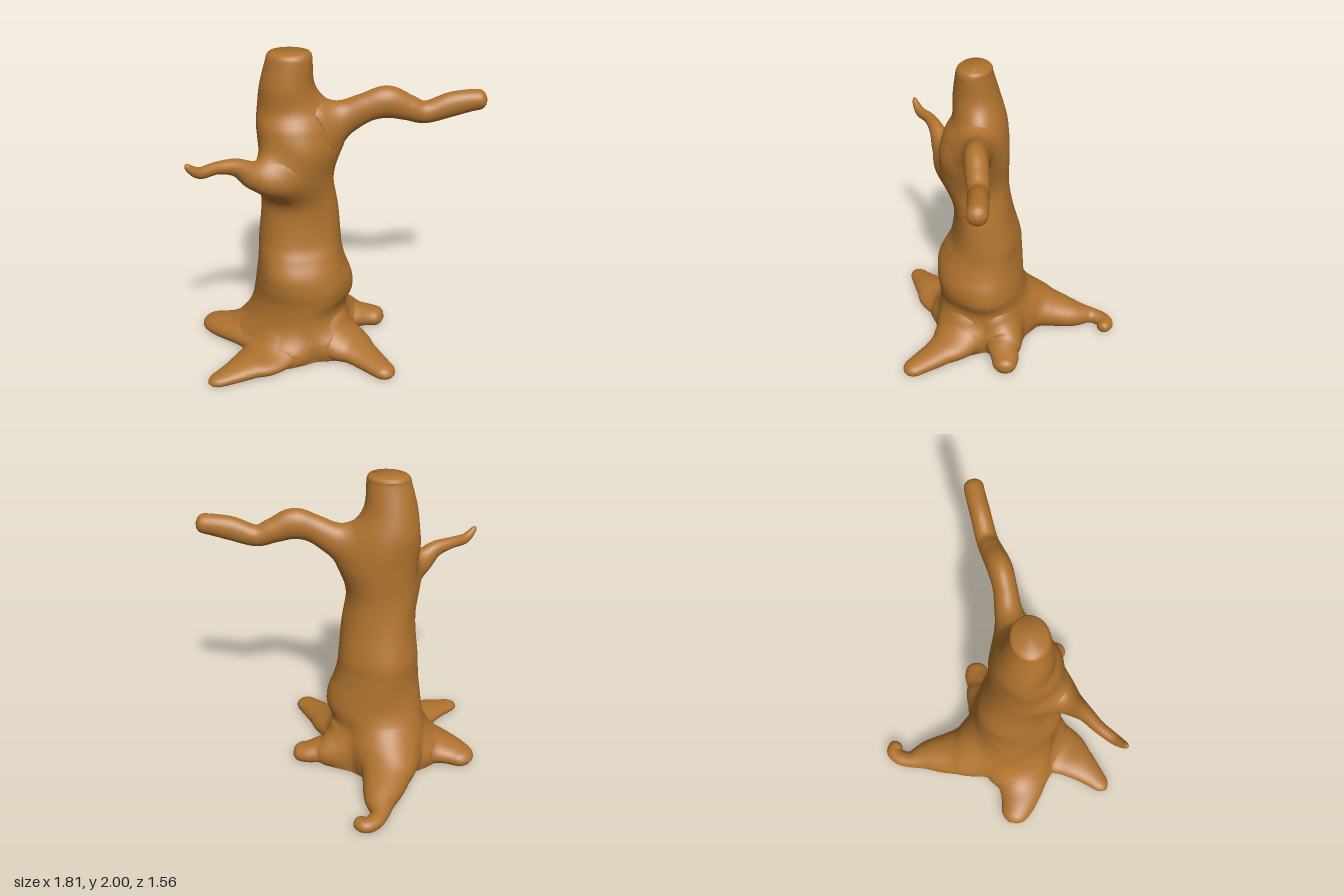
import * as THREE from 'three';
import { toCreasedNormals } from 'three/addons/utils/BufferGeometryUtils.js';

const bark = new THREE.MeshStandardMaterial({ color: 0xb0732f });
bark.name = 'bark';
const UP = new THREE.Vector3(0, 1, 0);
const BLEND = 0.16; // reach of the fillet where two parts meet

// Oval rings along stations [x, y, z, half width, half height]
function makeRings(stations, upright) {
  const path = new THREE.CatmullRomCurve3(stations.map(s => new THREE.Vector3(s[0], s[1], s[2])), false, 'catmullrom', 0.5);
  const size = new THREE.CatmullRomCurve3(stations.map(s => new THREE.Vector3(s[3], s[4], 0)), false, 'catmullrom', 0.5);
  const segments = stations.length - 1, count = segments * 9, rings = [];
  for (let i = 0; i <= count; i++) {
    const t = i / count, r = size.getPoint(t);
    const axis = upright ? UP : path.getTangent(t);
    const side = upright ? new THREE.Vector3(0, 0, 1) : UP.clone().cross(axis).normalize();
    const up = axis.clone().cross(side);
    // Round off the tip of a limb over the last half segment
    const k = upright ? 0 : Math.max(0, 1 - (1 - t) * segments * 2);
    const round = Math.sqrt(Math.max(0.002, 1 - k * k));
    rings.push({ c: path.getPoint(t), axis, side, up, w: r.x * round, h: r.y * round });
  }
  return rings;
}

// Approximate distance from a point to a part
const v = new THREE.Vector3();
function distance(p, rings) {
  let best = Infinity;
  for (const { c, axis, side, up, w, h } of rings) {
    const m = Math.min(w, h);
    v.subVectors(p, c);
    const x = v.dot(side) / w, y = v.dot(up) / h, z = v.dot(axis) / m;
    best = Math.min(best, (Math.sqrt(x * x + y * y + z * z) - 1) * m);
  }
  return best;
}

// How far to push a surface point outwards to meet its neighbours in a fillet
function fillet(p, dir, others) {
  const q = new THREE.Vector3();
  let s = 0;
  for (let n = 0; n < 5; n++) {
    q.copy(p).addScaledVector(dir, s);
    const d = Math.min(...others.map(o => distance(q, o)));
    if (d > BLEND || (n === 0 && d < -0.03)) break;
    const h = Math.max(BLEND - Math.abs(s - d), 0) / BLEND;
    s = THREE.MathUtils.clamp(s - Math.min(s, d) + h * h * BLEND / 4, 0, BLEND * 0.5);
  }
  return s;
}

// Skins the rings of one part, filleted into the other parts
function skin(name, rings, others, sides, ripple) {
  const pos = [], index = [];
  const add = p => pos.push(p.x, Math.max(0, p.y), p.z); // flat on the ground
  for (const { c, side, up, w, h } of rings) {
    for (let j = 0; j < sides; j++) {
      const a = j / sides * Math.PI * 2, f = ripple(a, c.y);
      const dir = new THREE.Vector3().addScaledVector(side, Math.cos(a) * w * f).addScaledVector(up, Math.sin(a) * h * f);
      const p = c.clone().add(dir);
      dir.normalize();
      add(p.addScaledVector(dir, fillet(p, dir, others)));
    }
  }
  const last = (rings.length - 1) * sides, first = rings.length * sides;
  for (let i = 0; i < last; i += sides) {
    for (let j = 0; j < sides; j++) {
      const a = i + j, b = i + (j + 1) % sides;
      index.push(a, b, b + sides, a, b + sides, a + sides);
    }
  }
  // End caps
  add(rings[0].c);
  add(rings[rings.length - 1].c);
  for (let j = 0; j < sides; j++) {
    const n = (j + 1) % sides;
    index.push(first, n, j, first + 1, last + j, last + n);
  }
  const geo = new THREE.BufferGeometry();
  geo.setAttribute('position', new THREE.Float32BufferAttribute(pos, 3));
  geo.setIndex(index);
  const mesh = new THREE.Mesh(toCreasedNormals(geo, Math.PI / 3), bark);
  mesh.name = name;
  return mesh;
}

// Trunk outline: [y, min x, max x, min z, max z]
const outline = [
  [0, -0.6, 0.07, -0.18, 0.44], [0.1, -0.585, 0.05, -0.17, 0.435],
  [0.2, -0.57, 0.04, -0.16, 0.43], [0.3, -0.555, 0.055, -0.15, 0.43],
  [0.4, -0.54, 0.095, -0.15, 0.435], [0.5, -0.525, 0.09, -0.14, 0.45],
  [0.6, -0.51, 0.055, -0.13, 0.445], [0.7, -0.505, 0.03, -0.12, 0.4],
  [0.8, -0.5, 0.02, -0.11, 0.355], [1.0, -0.475, 0.005, -0.06, 0.33],
  [1.2, -0.47, -0.02, -0.03, 0.365], [1.4, -0.465, -0.02, -0.03, 0.415],
  [1.55, -0.48, -0.06, -0.025, 0.39], [1.66, -0.475, -0.1, -0.01, 0.335],
  [1.8, -0.455, -0.13, 0.03, 0.328], [1.95, -0.415, -0.135, 0.07, 0.305],
  [1.985, -0.405, -0.14, 0.075, 0.295], [2.0, -0.39, -0.15, 0.09, 0.28],
];
const trunk = outline.map(([y, x0, x1, z0, z1]) =>
  [(x0 + x1) / 2, y, (z0 + z1) / 2, (z1 - z0) / 2, (x1 - x0) / 2]);

// Shallow twisting grooves that fade out at the cut top
const twist = (a, y) => 1 + Math.min(1, 2.05 - y) *
  (0.024 * Math.sin(3 * a + 4 * y) + 0.015 * Math.sin(5 * a - 6 * y + 1));

// Branches and roots, each running outwards from deep inside the trunk
const limbs = {
  leftBranch: [
    [-0.26, 1.37, 0.17, 0.08, 0.1], [-0.1, 1.5, 0.14, 0.095, 0.14],
    [0.05, 1.58, 0.11, 0.083, 0.105], [0.18, 1.645, 0.1, 0.072, 0.09],
    [0.3, 1.675, 0.08, 0.075, 0.1], [0.42, 1.635, 0.05, 0.07, 0.08],
    [0.53, 1.6, 0.025, 0.065, 0.068], [0.68, 1.645, 0, 0.063, 0.076],
    [0.8, 1.67, -0.02, 0.062, 0.068], [0.9, 1.68, -0.03, 0.06, 0.058],
  ],
  rightBranch: [
    [-0.24, 1.22, 0.2, 0.07, 0.06], [-0.34, 1.24, 0.355, 0.105, 0.085],
    [-0.45, 1.305, 0.44, 0.075, 0.08], [-0.54, 1.385, 0.5, 0.05, 0.055],
    [-0.64, 1.41, 0.57, 0.038, 0.038], [-0.72, 1.41, 0.65, 0.033, 0.035],
    [-0.765, 1.445, 0.69, 0.024, 0.025], [-0.79, 1.485, 0.71, 0.012, 0.014],
  ],
  backRoot: [
    [-0.27, 0.3, 0.12, 0.12, 0.1], [-0.37, 0.15, -0.14, 0.18, 0.15],
    [-0.375, 0.09, -0.31, 0.155, 0.12], [-0.37, 0.06, -0.48, 0.11, 0.09],
    [-0.385, 0.045, -0.61, 0.06, 0.055], [-0.36, 0.04, -0.69, 0.055, 0.048],
    [-0.31, 0.04, -0.73, 0.052, 0.045], [-0.25, 0.04, -0.69, 0.047, 0.042],
  ],
  backLeftRoot: [
    [-0.2, 0.22, 0.1, 0.1, 0.1], [0.02, 0.1, -0.05, 0.11, 0.11],
    [0.12, 0.075, -0.07, 0.09, 0.08], [0.2, 0.06, -0.085, 0.085, 0.065],
    [0.3, 0.05, -0.08, 0.065, 0.055],
  ],
  rightRoot: [
    [-0.26, 0.22, 0.14, 0.12, 0.11], [-0.5, 0.1, 0.15, 0.18, 0.11],
    [-0.65, 0.07, 0.155, 0.15, 0.085], [-0.79, 0.05, 0.115, 0.115, 0.07],
    [-0.9, 0.04, 0.045, 0.07, 0.045],
  ],
  frontRightRoot: [
    [-0.25, 0.13, 0.16, 0.12, 0.1], [-0.39, 0.05, 0.45, 0.165, 0.07],
    [-0.52, 0.045, 0.58, 0.125, 0.06], [-0.63, 0.03, 0.68, 0.08, 0.045],
    [-0.73, 0.02, 0.76, 0.045, 0.03],
  ],
  frontLeftRoot: [
    [-0.2, 0.17, 0.17, 0.12, 0.1], [0.07, 0.08, 0.29, 0.16, 0.09],
    [0.19, 0.055, 0.38, 0.115, 0.07], [0.3, 0.04, 0.48, 0.085, 0.055],
    [0.4, 0.03, 0.57, 0.06, 0.04],
  ],
};

export function createModel() {
  const tree = new THREE.Group();
  tree.name = 'tree';
  const parts = [{ name: 'trunk', rings: makeRings(trunk, true), sides: 72, ripple: twist }];
  for (const [name, stations] of Object.entries(limbs)) {
    parts.push({ name, rings: makeRings(stations, false), sides: 36, ripple: () => 1 });
  }
  for (const part of parts) {
    const others = parts.filter(o => o !== part).map(o => o.rings);
    tree.add(skin(part.name, part.rings, others, part.sides, part.ripple));
  }
  return tree;
}
